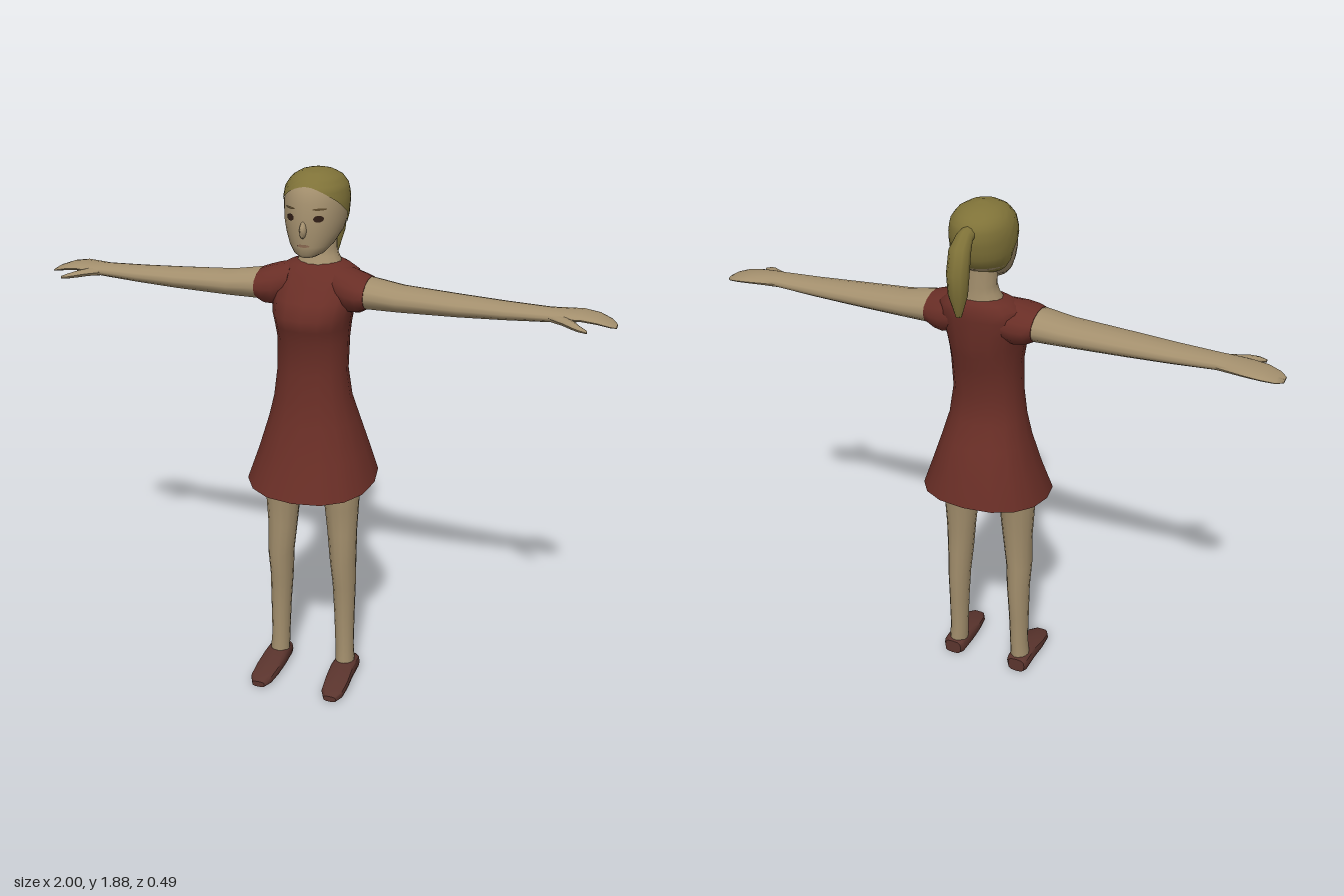
import * as THREE from 'three';
import { toCreasedNormals } from 'three/addons/utils/BufferGeometryUtils.js';

const mat = (name, color, side = THREE.FrontSide) => {
  const m = new THREE.MeshStandardMaterial({ color, side });
  m.name = name;
  return m;
};

// Skin a list of closed rings; optionally cap the first and last ring.
function loft(rings, capStart = true, capEnd = true) {
  const n = rings[0].length, pos = [], idx = [];
  rings.forEach(r => r.forEach(p => pos.push(...p)));
  for (let j = 0; j < rings.length - 1; j++) {
    for (let i = 0; i < n; i++) {
      const a = j * n + i, b = j * n + (i + 1) % n;
      idx.push(a, a + n, b, b, a + n, b + n);
    }
  }
  const cap = (j, end) => {
    const c = pos.length / 3;
    pos.push(...[0, 1, 2].map(k => rings[j].reduce((s, p) => s + p[k], 0) / n));
    for (let i = 0; i < n; i++) {
      const a = j * n + i, b = j * n + (i + 1) % n;
      idx.push(...(end ? [c, b, a] : [c, a, b]));
    }
  };
  if (capStart) cap(0, false);
  if (capEnd) cap(rings.length - 1, true);
  const g = new THREE.BufferGeometry();
  g.setAttribute('position', new THREE.Float32BufferAttribute(pos, 3));
  g.setIndex(idx);
  return g;
}

const around = (n, f) => Array.from({ length: n }, (_, i) => f(i / n * Math.PI * 2));
const pw = (v, p) => Math.sign(v) * Math.abs(v) ** p;

// Horizontal ring; tiltZ and tiltX raise its front and its outer side.
const ringY = (n, p = 1) => ([y, x0, x1, zf, zb, tiltZ = 0, tiltX = 0]) => around(n, a => {
  const c = pw(Math.cos(a), p), s = pw(Math.sin(a), p);
  return [(x0 + x1) / 2 + (x1 - x0) / 2 * c, y + tiltZ * s + tiltX * c, (zf + zb) / 2 + (zf - zb) / 2 * s];
});
// Ring across an arm.
const ringX = n => ([x, y0, y1, z0, z1]) => around(n, a =>
  [x, (y0 + y1) / 2 + (y1 - y0) / 2 * Math.sin(a), (z0 + z1) / 2 + (z1 - z0) / 2 * Math.cos(a)]);
// Flat-bottomed ring across a shoe.
const ringShoe = n => ([z, x0, x1, h]) => around(n, a =>
  [(x0 + x1) / 2 + (x1 - x0) / 2 * pw(Math.sin(a), 0.6), h / 2 + h / 2 * pw(Math.cos(a), 0.6), z]);

function mirrored(g) {
  const m = g.clone().scale(-1, 1, 1), ix = m.index.array;
  for (let i = 0; i < ix.length; i += 3) [ix[i], ix[i + 1]] = [ix[i + 1], ix[i]];
  return m;
}

// Head profile: height, half width, front z, back z.
const HEAD = [
  [1.604, 0.028, 0.108, 0.03], [1.615, 0.05, 0.117, 0], [1.64, 0.072, 0.12, -0.05],
  [1.68, 0.092, 0.123, -0.115], [1.72, 0.102, 0.123, -0.135], [1.78, 0.105, 0.116, -0.145],
  [1.82, 0.098, 0.104, -0.138], [1.848, 0.078, 0.078, -0.112], [1.866, 0.045, 0.04, -0.07],
  [1.873, 0.006, -0.01, -0.022],
];
// Lerp a table of rows by its first column.
function lookup(rows, t) {
  let i = 0;
  while (i < rows.length - 2 && t > rows[i + 1][0]) i++;
  const a = rows[i], b = rows[i + 1];
  const k = THREE.MathUtils.clamp((t - a[0]) / (b[0] - a[0]), 0, 1);
  return a.map((v, c) => v + (b[c] - v) * k);
}
// Hairline height from back (-1) to front (1).
const HAIRLINE = [[-1, 1.66], [-0.5, 1.665], [-0.22, 1.685], [-0.1, 1.735], [0.1, 1.745], [0.7, 1.8], [1, 1.832]];

function hairCap() {
  const rows = 14, n = 32, grow = 0.004, rings = [];
  for (let j = rows; j >= 0; j--) {
    rings.push(around(n, a => {
      const s = Math.sin(a), low = lookup(HAIRLINE, s)[1];
      const y = 1.873 - (1.873 - low) * (j / rows) ** 2;
      const [, hw, zf, zb] = lookup(HEAD, y);
      return [(hw + grow) * Math.cos(a), y + grow * (1 - j / rows), (zf + zb) / 2 + ((zf - zb) / 2 + grow) * s];
    }));
  }
  return loft(rings, false, true);
}

// Thin patch wrapped onto the face.
function facePatch(cx, cy, rx, ry, lift) {
  const g = new THREE.CircleGeometry(1, 12), p = g.attributes.position;
  for (let i = 0; i < p.count; i++) {
    const x = cx + p.getX(i) * rx, y = cy + p.getY(i) * ry;
    const [, hw, zf, zb] = lookup(HEAD, y);
    p.setXYZ(i, x, y, (zf + zb) / 2 + (zf - zb) / 2 * Math.sqrt(Math.max(0, 1 - (x / hw) ** 2)) + lift);
  }
  return g;
}

// Ponytail rows: y, z, thickness, half width.
function ponytail() {
  const pts = [[1.808, -0.11, 0.024, 0.024], [1.802, -0.16, 0.025, 0.028], [1.77, -0.195, 0.031, 0.036],
    [1.70, -0.211, 0.036, 0.037], [1.63, -0.212, 0.029, 0.032], [1.555, -0.208, 0.007, 0.01]];
  return loft(pts.map(([y, z, r, w], i) => {
    const a = pts[Math.max(0, i - 1)], b = pts[Math.min(pts.length - 1, i + 1)];
    const l = Math.hypot(b[0] - a[0], b[1] - a[1]), ty = (b[0] - a[0]) / l, tz = (b[1] - a[1]) / l;
    return around(10, t => [w * Math.sin(t), y + tz * r * Math.cos(t), z - ty * r * Math.cos(t)]);
  }));
}

export function createModel() {
  const model = new THREE.Group();
  model.name = 'woman';
  const skin = mat('skin', 0xa38f6d), hair = mat('hair', 0x7f7238);
  const red = mat('dress red', 0x692e26, THREE.DoubleSide), shoe = mat('shoe brown', 0x5a342d);
  const dark = mat('eye brown', 0x2e1c14), brow = mat('brow brown', 0x5f4c2e), lip = mat('lip', 0x8c6b52);

  const add = (name, geo, material, crease = 1) => {
    const mesh = new THREE.Mesh(toCreasedNormals(geo, crease), material);
    mesh.name = name;
    model.add(mesh);
  };
  const pair = (name, geo, material, crease) => {
    add('left' + name, geo, material, crease);
    add('right' + name, mirrored(geo), material, crease);
  };

  // Dress: hem dips at the front and rises at the back
  add('dress', loft([
    [0.80, 0.228, 0.242, -0.19, -0.024], [0.91, 0.19, 0.197, -0.166, -0.01], [1.02, 0.156, 0.158, -0.128],
    [1.10, 0.135, 0.141, -0.092], [1.20, 0.122, 0.131, -0.076], [1.31, 0.122, 0.132, -0.096],
    [1.36, 0.127, 0.15, -0.107], [1.40, 0.134, 0.16, -0.115], [1.45, 0.143, 0.126, -0.118],
    [1.50, 0.15, 0.085, -0.122], [1.535, 0.142, 0.058, -0.122], [1.556, 0.105, 0.036, -0.113],
    [1.568, 0.066, 0.012, -0.104],
  ].map(([y, w, ...rest]) => ringY(16, 0.88)([y, -w, w, ...rest])), false, true), red);
  pair('Sleeve', loft([
    [0.08, 1.42, 1.557, -0.1, 0.07], [0.13, 1.405, 1.55, -0.1, 0.09], [0.165, 1.41, 1.54, -0.092, 0.096],
    [0.192, 1.425, 1.53, -0.082, 0.09],
  ].map(ringX(14))), red);

  // Shorts under the skirt
  add('shorts', loft([[0.79, -0.06, 0.06, 0.06, -0.04], [0.83, -0.165, 0.165, 0.115, -0.085],
    [0.92, -0.16, 0.16, 0.12, -0.1], [1.02, -0.13, 0.13, 0.11, -0.09]].map(ringY(14))), red);
  pair('ShortsLeg', loft([[0.77, 0.036, 0.181, 0.117, -0.05, 0, 0.03],
    [0.87, 0.015, 0.176, 0.117, -0.08]].map(ringY(14)), false, true), red);

  // Legs and shoes
  pair('Leg', loft([
    [0.04, 0.095, 0.166, 0.08, -0.006], [0.12, 0.093, 0.16, 0.073, -0.005], [0.25, 0.088, 0.161, 0.078, -0.013],
    [0.38, 0.08, 0.163, 0.082, -0.022], [0.48, 0.073, 0.166, 0.1, -0.02], [0.60, 0.06, 0.167, 0.094, -0.024],
    [0.70, 0.05, 0.172, 0.104, -0.034], [0.80, 0.042, 0.176, 0.112, -0.045], [0.88, 0.025, 0.17, 0.11, -0.06],
  ].map(ringY(14))), skin);
  pair('Shoe', loft([
    [-0.013, 0.102, 0.168, 0.056], [0, 0.092, 0.176, 0.062], [0.085, 0.088, 0.178, 0.061],
    [0.15, 0.09, 0.182, 0.046], [0.21, 0.097, 0.18, 0.035], [0.242, 0.115, 0.163, 0.022],
  ].map(ringShoe(12))), shoe, 0.8);

  // Arms with flat hands, and thumbs pointing forward
  pair('Arm', loft([
    [0.15, 1.425, 1.53, -0.08, 0.088], [0.20, 1.424, 1.528, -0.078, 0.086], [0.30, 1.425, 1.512, -0.069, 0.08],
    [0.50, 1.43, 1.5, -0.06, 0.071], [0.65, 1.436, 1.492, -0.053, 0.06], [0.79, 1.444, 1.487, -0.046, 0.05],
    [0.84, 1.448, 1.486, -0.06, 0.05], [0.89, 1.453, 1.484, -0.074, 0.044], [0.94, 1.45, 1.476, -0.07, 0.042],
    [0.98, 1.444, 1.462, -0.052, 0.034], [1.0, 1.442, 1.45, -0.025, 0.018],
  ].map(ringX(14))), skin);
  pair('Thumb', loft([
    [0.79, 1.45, 1.478, 0.01, 0.045], [0.84, 1.447, 1.475, 0.015, 0.072], [0.87, 1.445, 1.47, 0.042, 0.092],
    [0.895, 1.444, 1.463, 0.073, 0.102], [0.92, 1.444, 1.454, 0.092, 0.103],
  ].map(ringX(8))), skin);

  // Neck and head
  add('neck', loft([[1.55, -0.085, 0.085, 0.032, -0.105], [1.585, -0.064, 0.064, 0.014, -0.101],
    [1.61, -0.058, 0.058, 0.008, -0.1], [1.70, -0.06, 0.06, 0.01, -0.1]].map(ringY(14))), skin);
  add('head', loft(HEAD.map(([y, w, f, b]) => ringY(32)([y, -w, w, f, b]))), skin);
  add('nose', new THREE.SphereGeometry(1, 10, 8).scale(0.012, 0.028, 0.018).rotateX(-0.15).translate(0, 1.698, 0.121), skin);

  // Hair
  add('hair', hairCap(), hair);
  add('ponytail', ponytail(), hair);

  // Face details
  for (const [side, s] of [['left', 1], ['right', -1]]) {
    add(side + 'Eye', facePatch(s * 0.048, 1.735, 0.015, 0.011, 0.003), dark);
    add(side + 'Brow', facePatch(s * 0.05, 1.765, 0.021, 0.0035, 0.003), brow);
  }
  add('mouth', facePatch(0, 1.646, 0.022, 0.005, 0.003), lip);
  return model;
}
